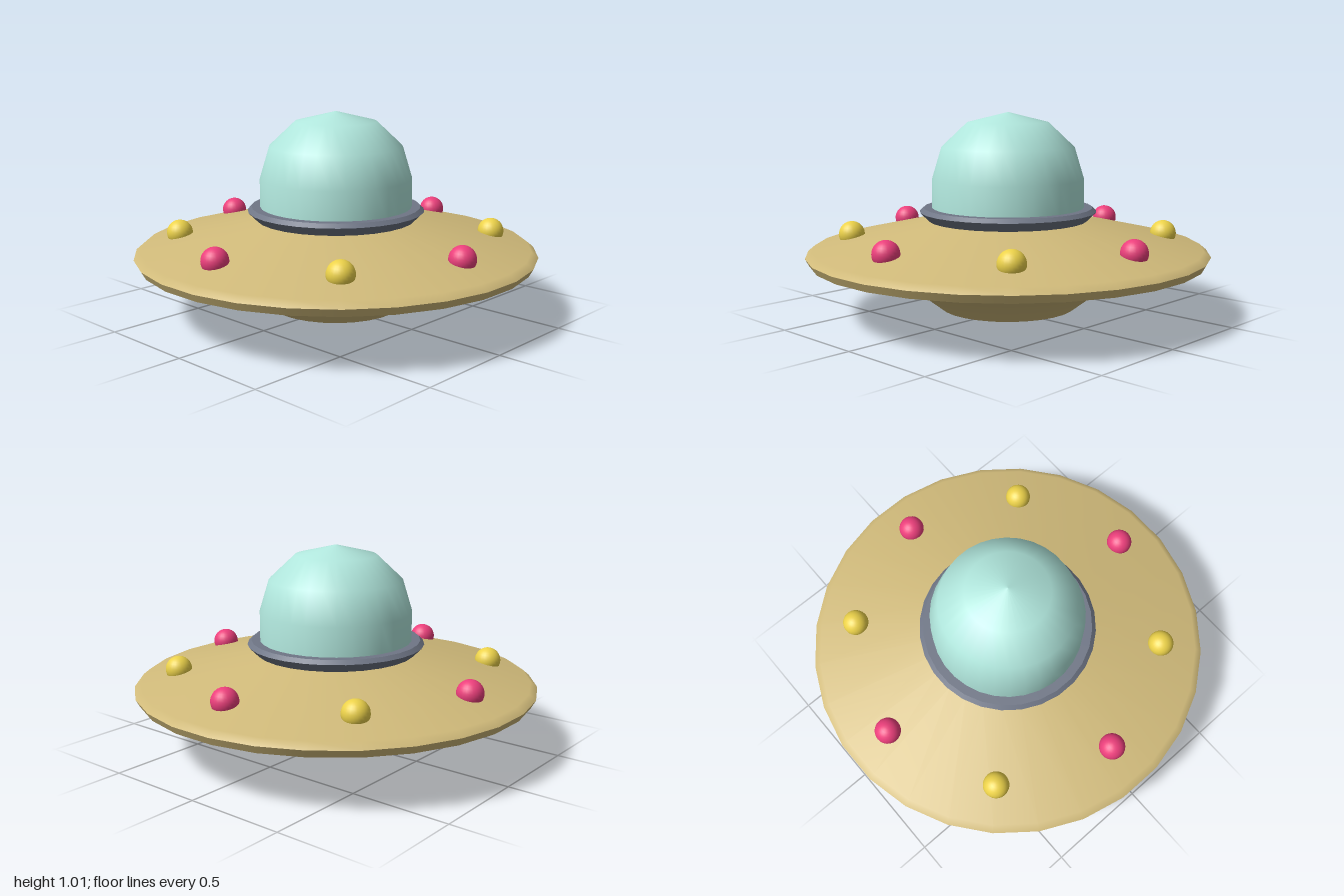
import * as THREE from 'three';

const SIDES = 28;

// Revolve a bottom-to-top [radius, y] profile; each call is one smooth band.
function revolve(name, profile, material, sides = SIDES) {
  const points = profile.map(([r, y]) => new THREE.Vector2(r, y));
  const mesh = new THREE.Mesh(new THREE.LatheGeometry(points, sides, Math.PI / sides), material);
  mesh.name = name;
  return mesh;
}

export function createModel() {
  const paint = (color) => new THREE.MeshStandardMaterial({ color });
  const gold = paint(0xd0ba7a);
  const glass = paint(0xb0e6dc);
  const steel = paint(0x6f7686);
  const green = paint(0x66b53c);
  const pink = paint(0xec3f7c);
  const yellow = paint(0xecd24a);

  const model = new THREE.Group();
  model.name = 'flyingSaucer';

  // Saucer hull, split into bands at its sharp edges
  const hull = new THREE.Group();
  hull.name = 'hull';
  hull.add(
    revolve('hullBase', [[0, 0.03], [0.34, 0.03]], gold),
    revolve('hullUnderside', [[0.34, 0.03], [0.502, 0.155], [0.985, 0.277]], gold),
    revolve('hullRim', [[0.985, 0.277], [1.006, 0.315]], gold),
    revolve('hullTop', [[1.006, 0.315], [0.972, 0.343], [0.42, 0.47], [0.36, 0.48]], gold),
  );
  model.add(hull);

  // Shallow glowing lens under the hull
  model.add(revolve('bellyLens', [[0, 0], [0.12, 0.004], [0.22, 0.013], [0.3, 0.027], [0.3, 0.035]], green));

  // Collar holding the dome
  const collar = new THREE.Group();
  collar.name = 'collar';
  collar.add(
    revolve('collarLower', [[0.39, 0.465], [0.443, 0.518]], steel),
    revolve('collarBevel', [[0.443, 0.518], [0.423, 0.537]], steel),
    revolve('collarTop', [[0.423, 0.537], [0.35, 0.537]], steel),
  );
  model.add(collar);

  // Glass dome
  model.add(revolve('dome',
    [[0.38, 0.5], [0.38, 0.68], [0.332, 0.838], [0.203, 0.96], [0, 1.01]], glass, 32));

  // Ring of alternating lights
  const lightGeometry = new THREE.SphereGeometry(0.065, 24, 16);
  for (let i = 0; i < 8; i++) {
    const angle = (i * Math.PI) / 4;
    const light = new THREE.Mesh(lightGeometry, i % 2 ? yellow : pink);
    light.name = `light${i + 1}`;
    light.position.set(0.785 * Math.sin(angle), 0.4, 0.785 * Math.cos(angle));
    model.add(light);
  }

  return model;
}
